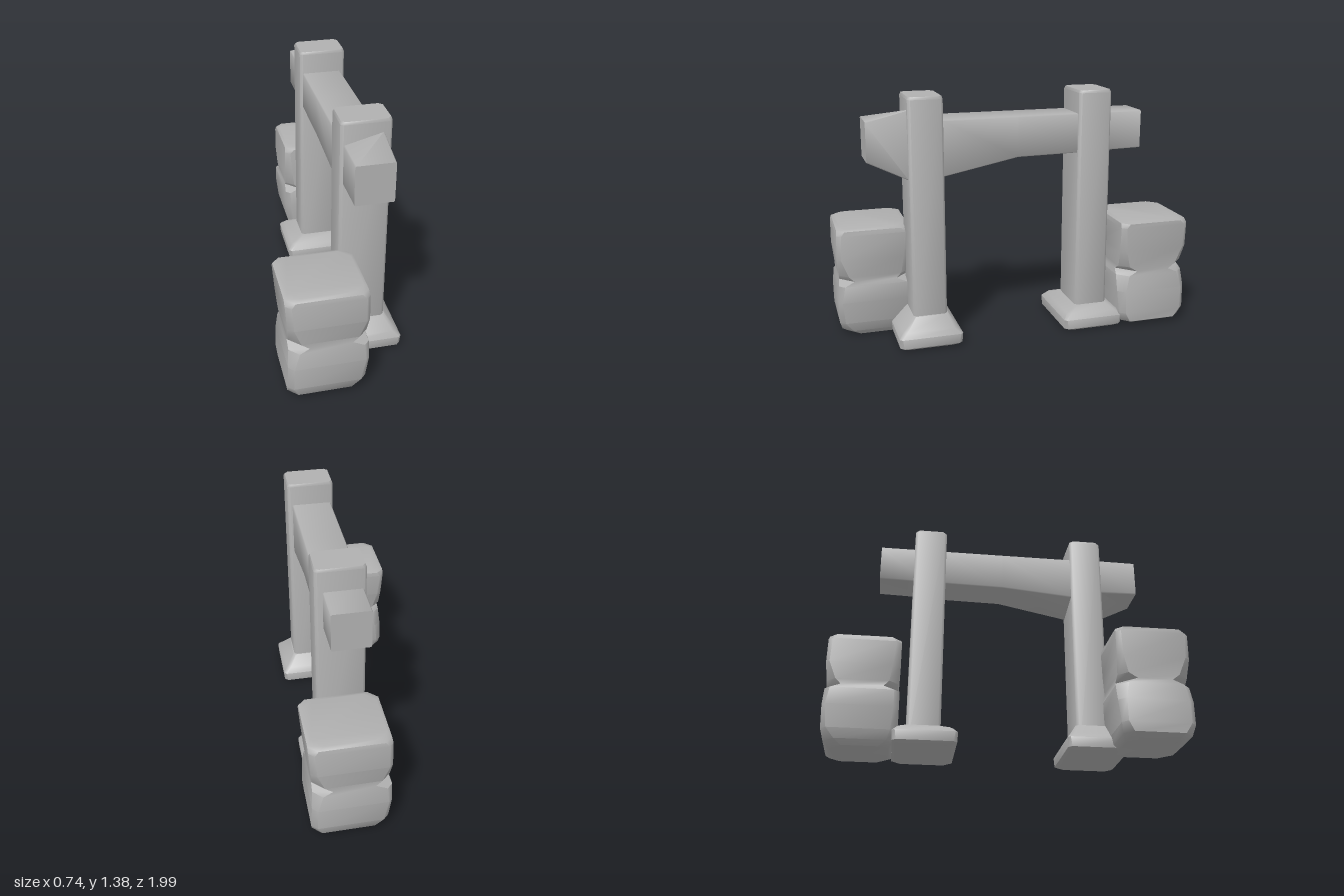
import * as THREE from 'three';
import { toCreasedNormals } from 'three/addons/utils/BufferGeometryUtils.js';

const stone = new THREE.MeshStandardMaterial({ color: 0xb0b0b0 });
stone.name = 'grey stone';

// Four corners of a rectangle, counterclockwise.
const rect = (x0, x1, y0, y1) => [[x0, y0], [x1, y0], [x1, y1], [x0, y1]];

// Cut each corner of a quad by its own distance, giving eight points at depth w.
function ring(w, quad, cuts) {
  const points = [];
  quad.forEach((p, i) => {
    const cut = Array.isArray(cuts) ? cuts[i] : cuts;
    for (const q of [quad[(i + 3) % 4], quad[(i + 1) % 4]]) {
      const t = cut / Math.hypot(q[0] - p[0], q[1] - p[1]);
      points.push([p[0] + (q[0] - p[0]) * t, p[1] + (q[1] - p[1]) * t, w]);
    }
  });
  return points;
}

// Skin rings along +z and cap both ends; optionally stand the result upright.
function loft(name, rings, { upright = false, crease = 0.9 } = {}) {
  const n = rings[0].length;
  const index = [];
  for (let r = 0; r < rings.length - 1; r++) {
    for (let i = 0; i < n; i++) {
      const a = r * n + i, b = r * n + (i + 1) % n;
      index.push(a, b, b + n, a, b + n, a + n);
    }
  }
  const last = (rings.length - 1) * n;
  for (let i = 1; i < n - 1; i++) {
    index.push(0, i + 1, i, last, last + i, last + i + 1);
  }
  const geometry = new THREE.BufferGeometry();
  geometry.setAttribute('position', new THREE.Float32BufferAttribute(rings.flat(2), 3));
  geometry.setIndex(index);
  if (upright) geometry.rotateX(-Math.PI / 2);
  const mesh = new THREE.Mesh(toCreasedNormals(geometry, crease), stone);
  mesh.name = name;
  return mesh;
}

// Upright section: height, x range, z range, corner cuts (front-left first).
const level = (y, x0, x1, z0, z1, cuts) => ring(y, rect(x0, x1, -z1, -z0), cuts);

// Square post with a plinth that slopes up towards it.
function createPost(name, z, baseZ, rise) {
  const group = new THREE.Group();
  group.name = name;
  group.add(loft('post', [
    level(0.05, -0.01, 0.255, z - 0.095, z + 0.095, 0.015),
    level(1.375, -0.01, 0.255, z - 0.095, z + 0.095, 0.015),
    level(1.39, -0.005, 0.25, z - 0.09, z + 0.09, 0.02),
  ], { upright: true }));
  const plinth = (y, inset, cut) =>
    level(y, -0.11 + inset, 0.335 - inset, baseZ - 0.178 + inset, baseZ + 0.178 - inset, cut);
  group.add(loft('plinth', [
    plinth(0.005, 0.025, 0.03),
    plinth(0.02, 0.003, 0.02),
    plinth(0.075, 0, 0.015),
    plinth(0.105, 0.025, 0.02),
    level(rise, -0.015, 0.262, z - 0.1, z + 0.1, 0.015),
  ], { upright: true }));
  return group;
}

// Weathered block with chipped corners and a crack around its middle.
function createBlock(name) {
  return loft(name, [
    level(0.005, -0.30, 0.01, 0.63, 0.95, [0.05, 0.07, 0.05, 0.06]),
    level(0.035, -0.36, 0.035, 0.60, 0.98, [0.05, 0.06, 0.04, 0.05]),
    level(0.09, -0.365, 0.05, 0.59, 0.995, [0.03, 0.03, 0.03, 0.03]),
    level(0.22, -0.36, 0.065, 0.58, 0.997, [0.03, 0.02, 0.03, 0.04]),
    level(0.315, -0.352, 0.066, 0.58, 0.99, [0.05, 0.03, 0.03, 0.06]),
    level(0.34, -0.35, 0.055, 0.59, 0.985, [0.10, 0.08, 0.08, 0.10]),
    level(0.37, -0.352, 0.058, 0.59, 0.985, [0.06, 0.05, 0.05, 0.05]),
    level(0.47, -0.36, 0.062, 0.585, 0.995, [0.03, 0.02, 0.04, 0.03]),
    level(0.61, -0.37, 0.062, 0.582, 0.993, [0.03, 0.025, 0.03, 0.025]),
    level(0.635, -0.37, 0.058, 0.585, 0.988, [0.05, 0.04, 0.05, 0.04]),
    level(0.645, -0.345, 0.04, 0.61, 0.965, [0.06, 0.05, 0.06, 0.05]),
  ], { upright: true, crease: 0.8 });
}

export function createModel() {
  const model = new THREE.Group();
  model.name = 'stone gate';

  model.add(createPost('frontPost', 0.515, 0.525, 0.175));
  model.add(createPost('backPost', -0.44, -0.433, 0.135));

  // Crossbeam, with its front end flaring where it meets the post.
  model.add(loft('crossbeam', [
    ring(-0.735, rect(0.005, 0.21, 1.045, 1.26), 0.006),
    ring(-0.45, rect(0.005, 0.215, 1.04, 1.26), 0.006),
    ring(-0.35, rect(0.005, 0.23, 1.04, 1.26), 0.006),
    ring(0, rect(0.005, 0.23, 1.035, 1.26), 0.006),
    ring(0.42, [[0.005, 1.0], [0.23, 0.95], [0.23, 1.26], [0.005, 1.26]], 0.006),
    ring(0.61, [[0.005, 1.045], [0.218, 0.94], [0.212, 1.32], [0.005, 1.265]], 0.006),
    ring(0.828, rect(0.005, 0.21, 1.048, 1.265), 0.006),
  ]));

  // Blocks beside the posts, the back one turned half round.
  model.add(createBlock('frontBlock'));
  const backBlock = createBlock('backBlock');
  backBlock.rotation.y = Math.PI;
  model.add(backBlock);

  return model;
}
